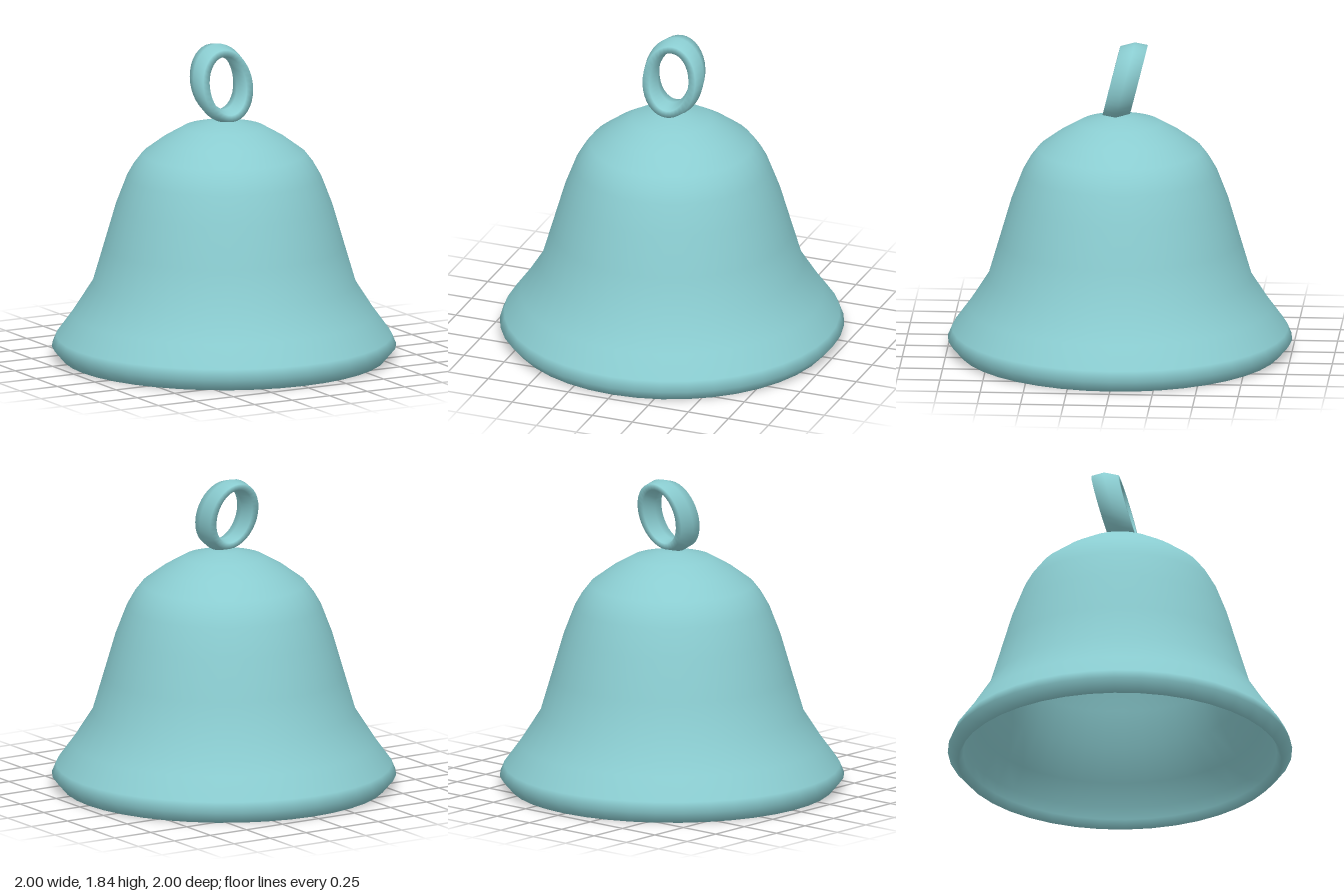
import * as THREE from 'three';

export function createModel() {
  const group = new THREE.Group();
  group.name = 'bell';
  const teal = new THREE.MeshStandardMaterial({ color: 0x8accd0 });
  teal.name = 'teal';

  // Hollow body: inner wall from crown down, round the lip, outer wall back up
  const inner = [
    [0, 1.34], [0.22, 1.30], [0.42, 1.17], [0.5, 1.04], [0.58, 0.84],
    [0.65, 0.62], [0.71, 0.42], [0.82, 0.24], [0.9, 0.12], [0.91, 0.05],
  ];
  const outer = [
    [0.94, 0], [1, 0.07], [0.975, 0.13], [0.88, 0.26], [0.765, 0.44],
    [0.7, 0.66], [0.63, 0.9], [0.565, 1.07], [0.525, 1.14], [0.475, 1.205],
    [0.36, 1.29], [0.235, 1.362], [0.08, 1.4], [0, 1.4],
  ];
  const profile = [...inner, ...outer].map(([r, y]) => new THREE.Vector2(r, y));
  const body = new THREE.Mesh(new THREE.LatheGeometry(profile, 40), teal);
  body.name = 'bellBody';
  group.add(body);

  // Hanging loop: oval ring with a wide six-sided section, leaning back
  const rx = 0.1425, ry = 0.185, tx = 0.0425, ty = 0.037;
  const geo = new THREE.TorusGeometry(1, 0.25, 6, 36);
  const p = geo.attributes.position;
  for (let i = 0; i < p.count; i++) {
    const x = p.getX(i), y = p.getY(i), r = Math.hypot(x, y);
    const k = (r - 1) / 0.25;
    const ny = (y / r) * (ry + k * ty);
    const nz = p.getZ(i) * (0.08 / (0.25 * 0.866));
    p.setXYZ(i, (x / r) * (rx + k * tx), ny - nz * 0.06, nz - 0.25 * ny);
  }
  // Smooth normals, taken analytically from the oval section
  const n = geo.attributes.normal;
  const a = new THREE.Vector3(), b = new THREE.Vector3();
  const rows = 7, cols = 37;
  const at = (j, i, v) => v.fromBufferAttribute(p, j * cols + i);
  const t1 = new THREE.Vector3(), t2 = new THREE.Vector3();
  for (let j = 0; j < rows; j++) {
    for (let i = 0; i < cols; i++) {
      t1.subVectors(at(j, (i + 1) % 36, a), at(j, (i + 35) % 36, b));
      t2.subVectors(at((j + 1) % 6, i, a), at((j + 5) % 6, i, b));
      t1.cross(t2).normalize();
      n.setXYZ(j * cols + i, t1.x, t1.y, t1.z);
    }
  }
  const loop = new THREE.Mesh(geo, teal);
  loop.name = 'hangingLoop';
  loop.position.set(0, 1.618, -0.03);
  group.add(loop);

  return group;
}
